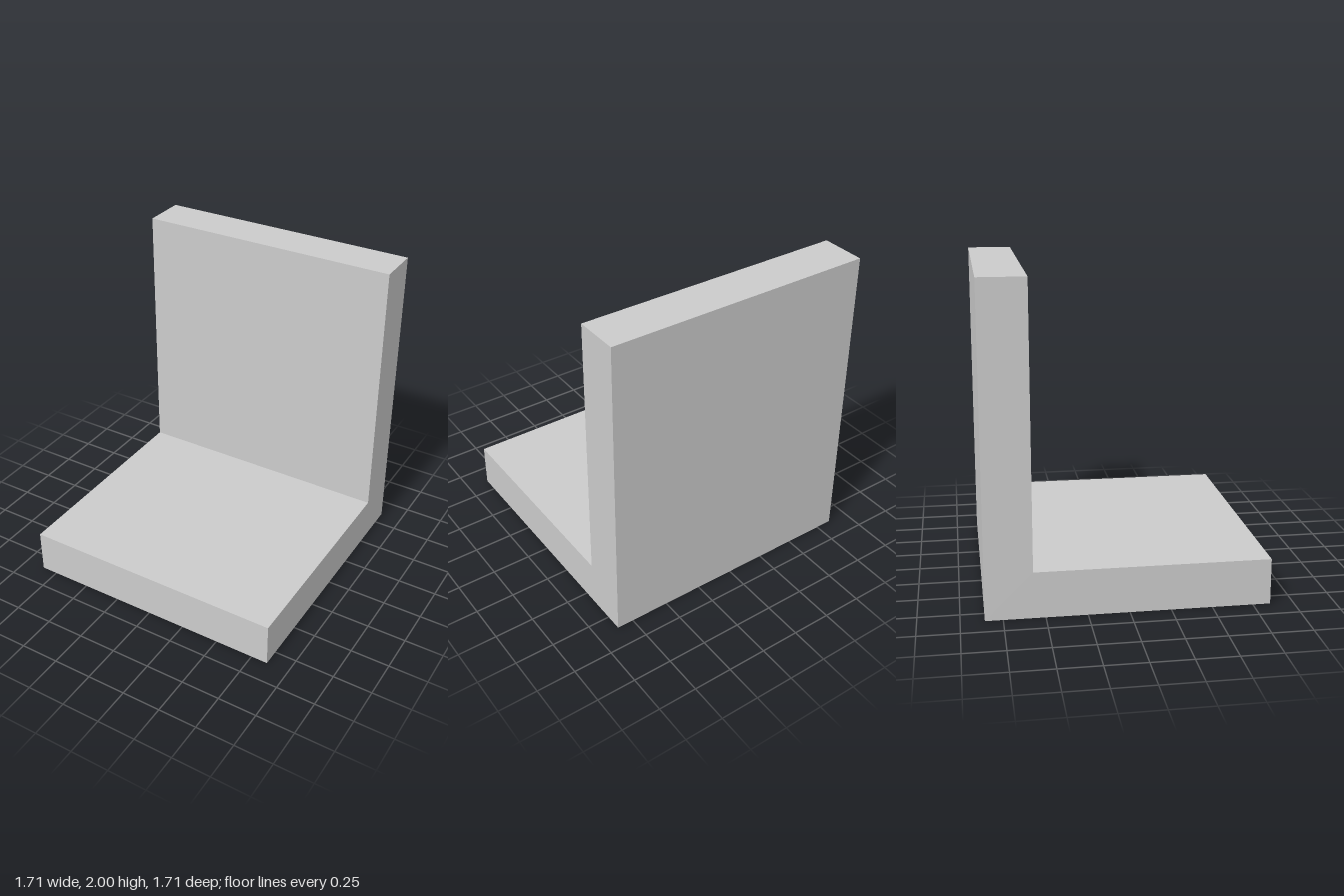
import * as THREE from 'three';

const WIDTH = 12 / 7;      // x and z extent
const THICK = 2 / 7;       // seat and back thickness
const HEIGHT = 2;

export function createModel() {
  const group = new THREE.Group();
  group.name = 'seatBlock';
  const material = new THREE.MeshStandardMaterial({ color: 0xcccccc, flatShading: true });

  // L-shaped side profile: shape x becomes z, shape y stays up
  const h = WIDTH / 2;
  const profile = new THREE.Shape([
    [-h, 0], [h, 0], [h, THICK], [-h + THICK, THICK], [-h + THICK, HEIGHT], [-h, HEIGHT],
  ].map(([z, y]) => new THREE.Vector2(z, y)));

  // Seat and backrest as one solid, swept across the width
  const geometry = new THREE.ExtrudeGeometry(profile, { depth: WIDTH, bevelEnabled: false });
  geometry.translate(0, 0, -h);
  geometry.rotateY(-Math.PI / 2);

  const mesh = new THREE.Mesh(geometry, material);
  mesh.name = 'seatAndBackrest';
  group.add(mesh);
  return group;
}
